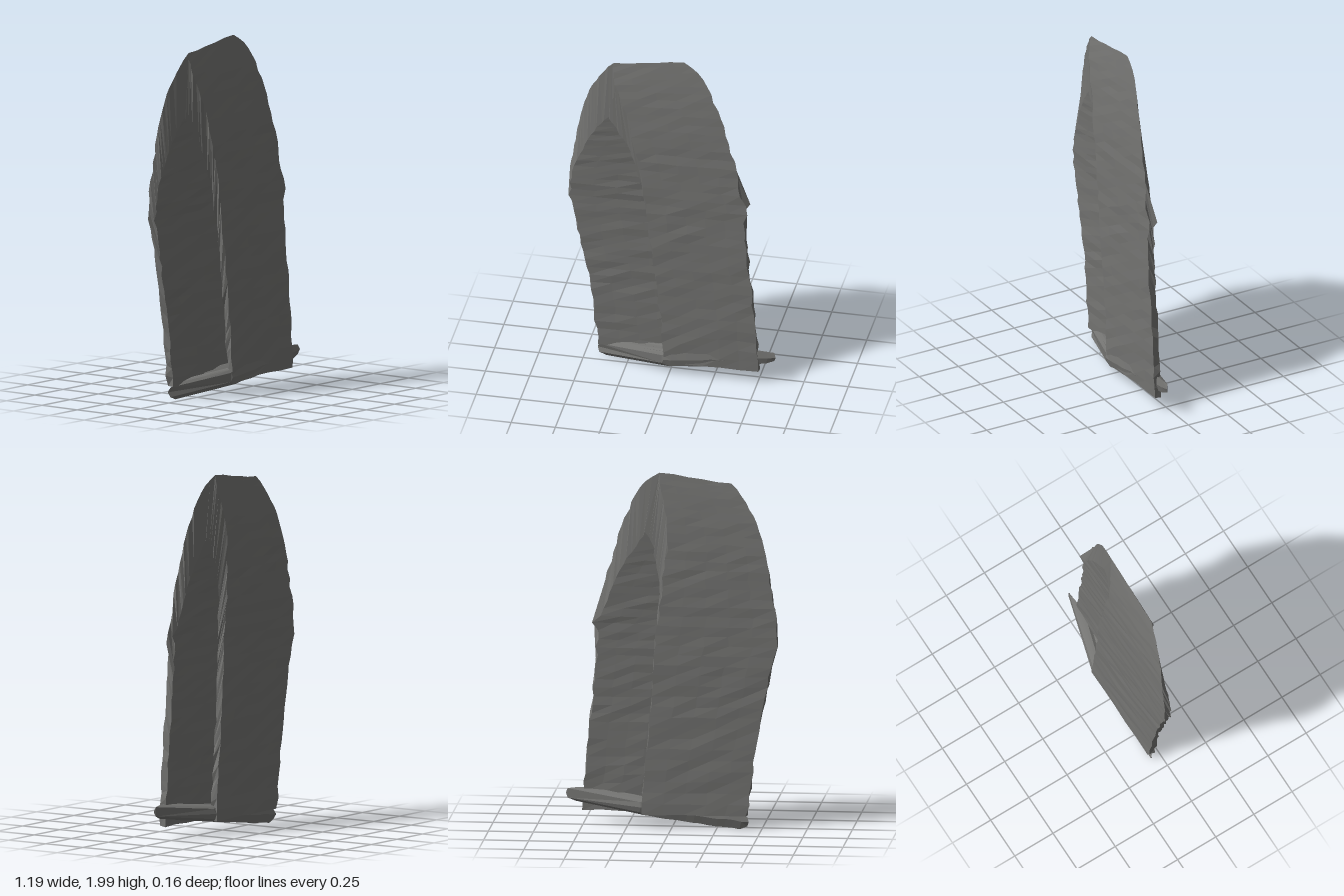
import * as THREE from 'three';

const stone = new THREE.MeshStandardMaterial({ color: 0x737371, flatShading: true, side: THREE.DoubleSide });
stone.name = 'grey stone';

// repeatable noise in -1..1
const noise = (a, b) => {
  const v = Math.sin(a * 127.1 + b * 311.7) * 43758.5453;
  return 2 * (v - Math.floor(v)) - 1;
};

// skin a row of closed rings
function loft(rings, caps) {
  const n = rings[0].length, index = [];
  for (let i = 0; i < rings.length - 1; i++) {
    for (let j = 0; j < n; j++) {
      const k = (j + 1) % n;
      const a = i * n + j, b = i * n + k, c = a + n, d = b + n;
      index.push(a, b, d, a, d, c);
    }
  }
  if (caps) {
    const e = (rings.length - 1) * n;
    for (let j = 1; j < n - 1; j++) index.push(0, j + 1, j, e, e + j, e + j + 1);
  }
  const g = new THREE.BufferGeometry();
  g.setAttribute('position', new THREE.Float32BufferAttribute(rings.flat(2), 3));
  g.setIndex(index);
  g.computeVertexNormals();
  return g;
}

// height, front wall left and right x, back wall left and right x
const EDGES = [
  [0.08, -0.02, 0.51, -0.42, 0.17],
  [0.50, -0.06, 0.475, -0.47, 0.13],
  [0.90, -0.11, 0.43, -0.55, 0.10],
  [1.15, -0.14, 0.41, -0.59, 0.08],
  [1.40, -0.18, 0.37, -0.55, 0.05],
  [1.60, -0.23, 0.31, -0.525, 0.02],
  [1.75, -0.28, 0.25, -0.48, 0.03],
  [1.88, -0.33, 0.18, -0.41, 0.06],
  [1.97, -0.33, 0.08, -0.33, 0.08],
];

function edgeAt(y, column) {
  let i = 0;
  while (i < EDGES.length - 2 && y > EDGES[i + 1][0]) i++;
  const t = (y - EDGES[i][0]) / (EDGES[i + 1][0] - EDGES[i][0]);
  return THREE.MathUtils.lerp(EDGES[i][column], EDGES[i + 1][column], t);
}

// one line of points across the shell, from its left edge to its right
function crossLine(s, side, inner, seed) {
  const bottom = 0.08, top = inner ? 1.62 : 1.97, steps = 5;
  const y = bottom + (top - bottom) * s;
  const column = side > 0 ? 1 : 3;
  let left = edgeAt(y, column), right = edgeAt(y, column + 1);
  if (inner) {
    // front and back meet at the inner crown
    const w = s ** 8;
    left += (-0.36 - left) * w;
    right += (0.15 - right) * w;
  }
  left += 0.008 * noise(seed, 1);
  right += 0.008 * noise(seed, 2);
  // chipped nubs on the edges
  if (side > 0) right += 0.05 * Math.exp(-(((y - 1.12) / 0.035) ** 2)) + 0.03 * Math.exp(-(((y - 1.01) / 0.025) ** 2));
  else left -= 0.025 * Math.exp(-(((y - 1.03) / 0.025) ** 2));
  const half = inner ? 0.036 * (1 - s ** 4) : 0.074 * (1 - s ** 5.4);
  const line = [];
  for (let k = 0; k <= steps; k++) {
    const x = left + (right - left) * k / steps;
    const z = side * half + 0.003 * noise(seed, k + 5) * (1 - s ** 6);
    line.push([x, y + 0.14 * (x + 0.13) * s ** 5 + 0.004 * noise(seed, k + 20), z]);
  }
  return line;
}

export function createModel() {
  const group = new THREE.Group();
  const add = (name, geometry) => {
    const mesh = new THREE.Mesh(geometry, stone);
    mesh.name = name;
    group.add(mesh);
  };

  // pointed tunnel: up the front wall, over the crown, down the back wall
  const rings = [], N = 36;
  for (let i = -N; i <= N; i++) {
    const side = i < 0 ? 1 : -1;
    const s = 1 - (Math.abs(i) / N) ** 1.2;
    rings.push([...crossLine(s, side, false, i), ...crossLine(s, side, true, i + 100).reverse()]);
  }
  add('archShell', loft(rings, false));

  // sloping floor slab with a rounded lip at each end
  const slabs = [], M = 14;
  for (let i = 0; i <= M; i++) {
    const u = i / M;
    const xf = -0.03 + 0.63 * u, xb = -0.43 + 0.6 * u;
    const zf = 0.08 - 0.03 * u ** 3, zb = -0.06 - 0.012 * u;
    const round = i === 0 || i === M ? 0.02 : 0;
    const low = (x) => Math.max(0, 0.054 + 0.125 * x + round + 0.004 * noise(i, 3));
    const high = (x) => 0.143 + 0.115 * x - round + 0.008 * noise(i, x > 0 ? 4 : 5);
    const xm = (xf + xb) / 2, zm = (zf + zb) / 2;
    slabs.push([
      [xf - 0.01, low(xf), zf - 0.008], [xm, low(xm), zm], [xb + 0.01, low(xb), zb + 0.008],
      [xb, (low(xb) + high(xb)) / 2, zb - 0.004],
      [xb + 0.01, high(xb), zb + 0.008], [xm, high(xm), zm], [xf - 0.01, high(xf), zf - 0.008],
      [xf, (low(xf) + high(xf)) / 2, zf],
    ]);
  }
  add('floorSlab', loft(slabs, true));
  return group;
}
